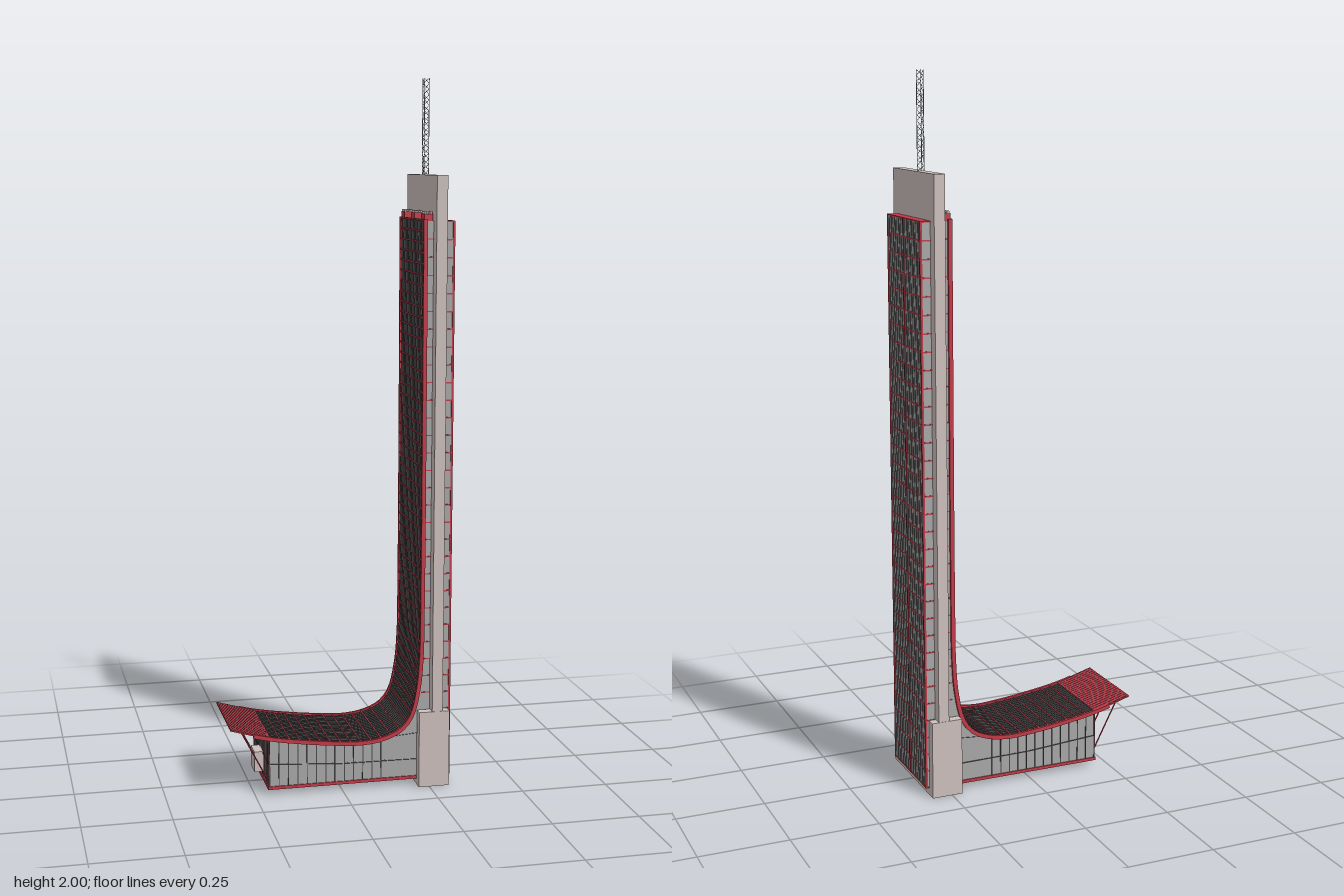
import * as THREE from 'three';

const material = (color) => new THREE.MeshStandardMaterial({ color, flatShading: true });
const STONE = material(0xcdc0bd), GLASS = material(0xa8a8a8), RED = material(0xc23a48), DARK = material(0x4a4a4a);

// sweeping roof line: canopy tip, low saddle, then up the tower face
const sweep = new THREE.CatmullRomCurve3([
  [-0.32, 0.2], [-0.21, 0.17], [-0.1, 0.152], [0, 0.141], [0.06, 0.138], [0.12, 0.146],
  [0.17, 0.168], [0.2, 0.205], [0.22, 0.285], [0.228, 0.38], [0.23, 0.55], [0.23, 1.615],
].map(([x, y]) => new THREE.Vector3(x, y, 0)), false, 'centripetal');
sweep.arcLengthDivisions = 800;
const LENGTH = sweep.getLength();
const U_WALL = 0.114 / LENGTH; // where the canopy meets the podium end wall

// point on the sweep pushed along its outward normal
function sweepPoint(u, off) {
  const p = sweep.getPointAt(u), t = sweep.getTangentAt(u);
  return new THREE.Vector2(p.x - t.y * off, p.y + t.x * off);
}
function sweepLine(u0, u1, off) {
  const pts = [];
  for (let i = 0; i <= 90; i++) pts.push(sweepPoint(u0 + (u1 - u0) * Math.pow(i / 90, 1.5), off));
  return pts;
}
function extrude(parent, name, pts, z0, z1, mat) {
  const geo = new THREE.ExtrudeGeometry(new THREE.Shape(pts), { depth: z1 - z0, bevelEnabled: false });
  const mesh = new THREE.Mesh(geo, mat);
  mesh.position.z = z0;
  mesh.name = name;
  parent.add(mesh);
}
function ribbon(parent, name, u0, u1, low, high, z0, z1, mat) {
  extrude(parent, name, [...sweepLine(u0, u1, low), ...sweepLine(u0, u1, high).reverse()], z0, z1, mat);
}
// box from its min and max corners
function box(parent, name, x0, x1, y0, y1, z0, z1, mat) {
  const mesh = new THREE.Mesh(new THREE.BoxGeometry(x1 - x0, y1 - y0, z1 - z0), mat);
  mesh.position.set((x0 + x1) / 2, (y0 + y1) / 2, (z0 + z1) / 2);
  mesh.name = name;
  parent.add(mesh);
  return mesh;
}
// thin rod between two points
function rod(parent, name, a, b, r, mat) {
  const A = new THREE.Vector3(...a), B = new THREE.Vector3(...b);
  const mesh = new THREE.Mesh(new THREE.CylinderGeometry(r, r, A.distanceTo(B), 5), mat);
  mesh.position.copy(A).add(B).multiplyScalar(0.5);
  mesh.quaternion.setFromUnitVectors(new THREE.Vector3(0, 1, 0), B.sub(A).normalize());
  mesh.name = name;
  parent.add(mesh);
}
function group(parent, name) {
  const g = new THREE.Group();
  g.name = name;
  parent.add(g);
  return g;
}
// height of the sweep at a given x on the podium
function roofHeight(x) {
  let lo = 0, hi = 0.6 / LENGTH;
  for (let i = 0; i < 25; i++) {
    const m = (lo + hi) / 2;
    if (sweep.getPointAt(m).x < x) lo = m; else hi = m;
  }
  return sweep.getPointAt(lo).y;
}

export function createModel() {
  const model = new THREE.Group();
  model.name = 'tower';

  // stone core slab with end piers and base plate
  const core = group(model, 'core');
  box(core, 'coreSlab', 0.257, 0.288, 0, 1.735, -0.156, 0.156, STONE);
  box(core, 'basePlate', 0.22, 0.308, 0, 0.02, -0.156, 0.156, STONE);
  for (const s of [-1, 1]) {
    const a = s * 0.13, b = s * 0.157;
    box(core, 'endPier', 0.219, 0.308, 0, 0.222, Math.min(a, b), Math.max(a, b), STONE);
  }

  // glazed block on the +x face with floor bands and mullions
  const east = group(model, 'rearGlassBlock');
  box(east, 'rearGlass', 0.286, 0.316, 0.02, 1.61, -0.126, 0.126, GLASS);
  for (let i = 0; i <= 32; i++) {
    const y = 0.02 + i * 0.0496;
    box(east, 'floorBand', 0.288, 0.3172, y, y + 0.004, -0.1275, 0.1275, RED);
  }
  for (let i = 0; i <= 24; i++) {
    const z = -0.126 + i * 0.0105, red = i % 12 === 0, w = red ? 0.0018 : 0.0007;
    box(east, 'mullion', 0.312, red ? 0.318 : 0.3168, 0.02, 1.61, z - w, z + w, red ? RED : DARK);
  }

  // podium and front glass block, one body under the sweep
  const body = group(model, 'sweepBody');
  extrude(body, 'podiumGlass', [
    new THREE.Vector2(-0.21, 0.02), new THREE.Vector2(0.258, 0.02), new THREE.Vector2(0.258, 1.61),
    ...sweepLine(U_WALL, 0.998, -0.003).reverse(),
  ], -0.125, 0.125, GLASS);

  // roof skin: red canopy, edge beams, cross ribs and long glazing bars
  const roof = group(model, 'sweepRoof');
  ribbon(roof, 'canopy', 0, U_WALL, -0.003, 0.001, -0.13, 0.13, RED);
  for (const s of [-1, 1]) {
    ribbon(roof, 'edgeBeam', U_WALL * 0.6, 1, -0.009, 0.0025, s * 0.128 - 0.004, s * 0.128 + 0.004, RED);
  }
  for (let i = 0; i <= 20; i++) {
    const z = -0.125 + i * 0.0125;
    ribbon(roof, 'glazingBar', 0, 1, -0.004, 0.0016, z - 0.0009, z + 0.0009, DARK);
  }
  const ribs = Math.floor((LENGTH * (1 - U_WALL)) / 0.0295);
  for (let i = 0; i <= ribs; i++) {
    const u = U_WALL + (1 - U_WALL) * (i / ribs) * 0.999;
    const p = sweepPoint(u, 0), t = sweep.getTangentAt(u);
    const rib = box(roof, 'crossRib', -0.002, 0.002, -0.002, 0.002, -0.126, 0.126, RED);
    rib.position.set(p.x, p.y - 0.0005, 0);
    rib.rotation.z = Math.atan2(t.y, t.x);
  }

  // podium side walls
  const sides = group(model, 'podiumSides');
  for (const s of [-1, 1]) {
    const z = s * 0.125;
    box(sides, 'sillBeam', -0.213, 0.22, 0.016, 0.025, z - 0.003, z + 0.003, RED);
    for (let i = 0; i <= 12; i++) {
      const x = -0.209 + i * 0.027;
      box(sides, 'sideMullion', x - 0.0012, x + 0.0012, 0.02, roofHeight(x) - 0.004, z - 0.002, z + 0.002, DARK);
    }
    rod(sides, 'sideRail', [-0.21, 0.092, z], [0, 0.078, z], 0.0018, DARK);
    rod(sides, 'sideRail', [0, 0.078, z], [0.22, 0.076, z], 0.0018, DARK);
    rod(sides, 'sideRail', [0.115, 0.145, z], [0.22, 0.153, z], 0.0012, DARK);
    // floor lines on the side of the tall front block
    for (let y = 0.27; y < 1.6; y += 0.0496) {
      box(sides, 'sideFloorLine', 0.234, 0.257, y, y + 0.003, z - 0.0012, z + 0.0012, RED);
    }
  }

  // podium end wall with entrance and raking canopy struts
  const entry = group(model, 'entranceEnd');
  box(entry, 'endSill', -0.214, -0.208, 0.016, 0.025, -0.128, 0.128, RED);
  box(entry, 'endRail', -0.212, -0.208, 0.09, 0.094, -0.125, 0.125, DARK);
  for (let i = 0; i <= 12; i++) {
    const z = -0.125 + i * 0.0208;
    box(entry, 'endMullion', -0.212, -0.208, 0.02, 0.165, z - 0.001, z + 0.001, i % 3 ? DARK : RED);
  }
  box(entry, 'entrancePorch', -0.236, -0.209, 0.036, 0.096, -0.03, 0.03, STONE);
  for (const z of [-0.113, -0.055, 0.025, 0.08]) {
    rod(entry, 'canopyStrut', [-0.29, 0.19, z], [-0.21, 0.035, z], 0.002, RED);
  }

  // roof plant: three units with four fans each
  const plant = group(model, 'roofPlant');
  for (const z of [-0.108, -0.002, 0.104]) {
    box(plant, 'plantUnit', 0.231, 0.255, 1.608, 1.63, z - 0.019, z + 0.019, RED);
    for (const dx of [-0.0065, 0.0065]) for (const dz of [-0.0125, 0.0125]) {
      rod(plant, 'fan', [0.243 + dx, 1.61, z + dz], [0.243 + dx, 1.636, z + dz], 0.0055, STONE);
    }
  }

  // triangular lattice mast
  const mast = group(model, 'mast');
  const legs = [[0.262, -0.018], [0.262, 0.001], [0.278, -0.0085]];
  const steps = 18, rise = 0.266 / steps;
  legs.forEach(([x, z], k) => {
    const [nx, nz] = legs[(k + 1) % 3];
    rod(mast, 'mastLeg', [x, 1.734, z], [x, 2, z], 0.0011, GLASS);
    for (let i = 0; i < steps; i++) {
      const y = 1.734 + i * rise, flip = i % 2;
      rod(mast, 'mastBrace', [x, y + (flip ? rise : 0), z], [nx, y + (flip ? 0 : rise), nz], 0.0007, GLASS);
    }
  });
  return model;
}
